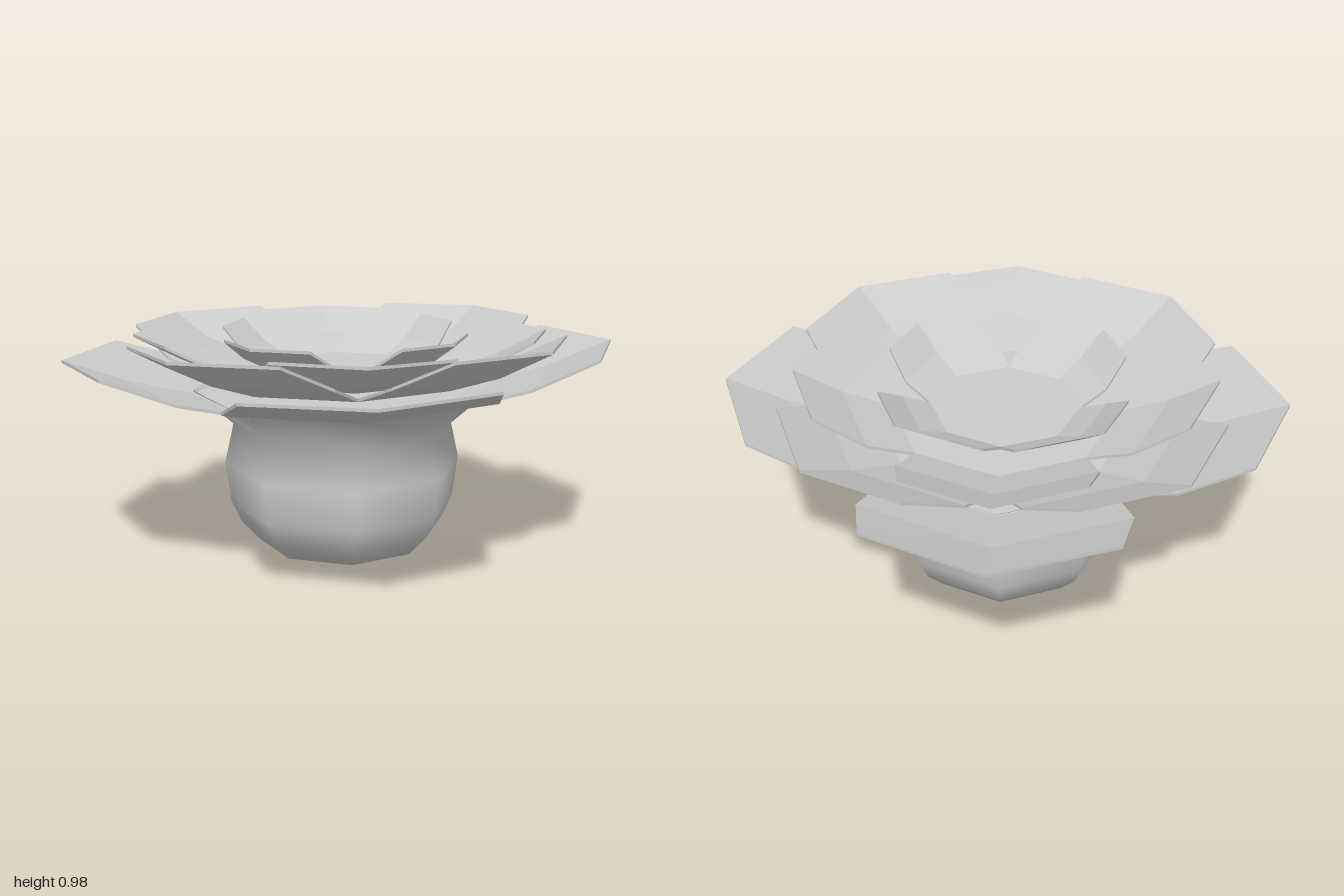
import * as THREE from 'three';

const THICK = 0.012;

// Thin folded petal: three rows of three points, widest in the middle row.
// Local +z points outwards; s scales the plan, rise is the height of the tip.
function petalGeometry(s, rise) {
  const rows = [
    { v: 0.438, side: 0.438, mid: 0.62, h: 0 },
    { v: 0.505, side: 0.67, mid: 0.88, h: 0.4 },
    { v: 0.4525, side: 0.95, mid: 1.135, h: 1 },
  ];
  const pos = [], idx = [];
  for (const drop of [0, THICK]) {
    for (const r of rows) {
      for (const c of [-1, 0, 1]) {
        pos.push(c * r.v * s, r.h * rise - drop, (c === 0 ? r.mid : r.side) * s);
      }
    }
  }
  // upper and lower faces
  for (let r = 0; r < 2; r++) {
    for (let c = 0; c < 2; c++) {
      const a = r * 3 + c, b = a + 1, d = a + 3, e = a + 4;
      // fold each quad so the crease runs along the outer corner
      const tris = c === 0 ? [[a, d, b], [b, d, e]] : [[a, d, e], [a, e, b]];
      for (const [p, q, t] of tris) idx.push(p, q, t, p + 9, t + 9, q + 9);
    }
  }
  // rim
  const loop = [0, 3, 6, 7, 8, 5, 2, 1];
  loop.forEach((p, i) => {
    const q = loop[(i + 1) % loop.length];
    idx.push(p, p + 9, q + 9, p, q + 9, q);
  });
  const g = new THREE.BufferGeometry();
  g.setAttribute('position', new THREE.Float32BufferAttribute(pos, 3));
  g.setIndex(idx);
  const flat = g.toNonIndexed();
  flat.computeVertexNormals();
  return flat;
}

export function createModel() {
  const model = new THREE.Group();
  model.name = 'flower';
  const smooth = new THREE.MeshStandardMaterial({ color: 0xcccccc, side: THREE.DoubleSide });
  const faceted = new THREE.MeshStandardMaterial({ color: 0xcccccc, flatShading: true });

  // Eight-sided bulb flaring out to the first ring of petals
  const profile = [[0, 0.005], [0.35, 0.065], [0.43, 0.15], [0.47, 0.24],
    [0.492, 0.41], [0.455, 0.575], [0.62, 0.72]].map(([x, y]) => new THREE.Vector2(x, y));
  const bulb = new THREE.Mesh(new THREE.LatheGeometry(profile, 8), smooth);
  bulb.name = 'bulb';
  model.add(bulb);

  // Stacked, slightly tilted rings: four petals around an octagonal floor
  const rings = [
    { s: 1, y: 0.72, rise: 0.157, tilt: [0.005, 0.022], turn: Math.PI / 4 },
    { s: 0.862, y: 0.775, rise: 0.185, tilt: [-0.013, 0.023], turn: 0 },
    { s: 0.75, y: 0.795, rise: 0.157, tilt: [-0.02, 0.012], turn: Math.PI / 4 },
    { s: 0.49, y: 0.812, rise: 0.148, tilt: [0, 0.01], turn: 0 },
  ];
  rings.forEach(({ s, y, rise, tilt, turn }, n) => {
    const ring = new THREE.Group();
    ring.name = `petalRing${n + 1}`;
    ring.position.y = y;
    ring.rotation.set(tilt[0], 0, tilt[1]);

    const floor = new THREE.Mesh(new THREE.CylinderGeometry(0.62 * s, 0.62 * s, THICK, 8), faceted);
    floor.name = 'ringFloor';
    floor.position.y = -THICK / 2;
    ring.add(floor);

    const geometry = petalGeometry(s, rise);
    for (let k = 0; k < 4; k++) {
      const petal = new THREE.Mesh(geometry, faceted);
      petal.name = 'petal';
      petal.rotation.y = turn + k * Math.PI / 2;
      ring.add(petal);
    }
    model.add(ring);
  });
  return model;
}
